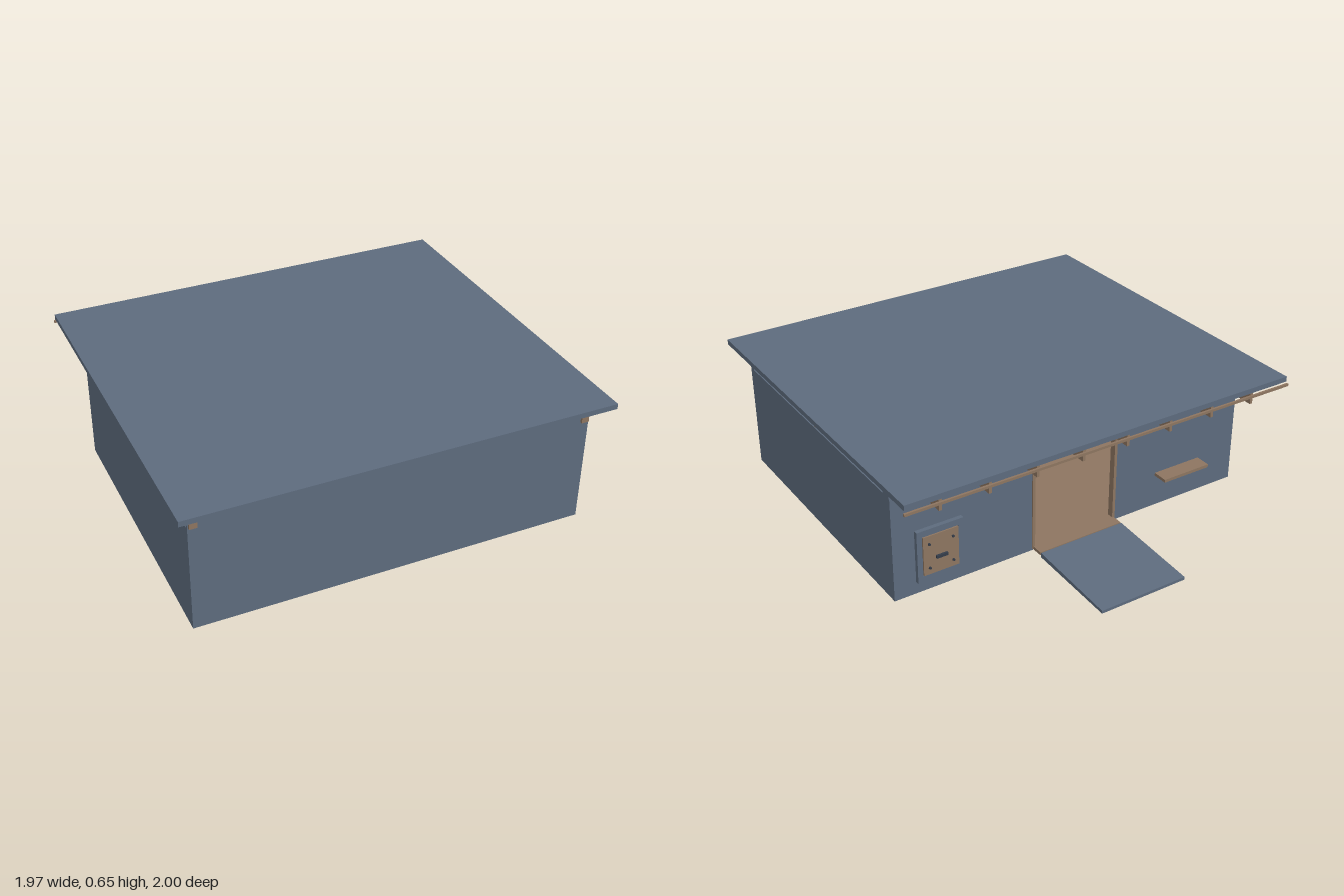
import * as THREE from 'three';

const slate = new THREE.MeshStandardMaterial({ color: 0x5d6b7d });
slate.name = 'slate paint';
const wood = new THREE.MeshStandardMaterial({ color: 0x8d7560 });
wood.name = 'bare wood';
const iron = new THREE.MeshStandardMaterial({ color: 0x343c49 });
iron.name = 'dark iron';

export function createModel() {
  const model = new THREE.Group();
  model.name = 'shed';

  // box given by its limits on each axis
  const box = (name, mat, [x0, x1], [y0, y1], [z0, z1], parent = model) => {
    const mesh = new THREE.Mesh(new THREE.BoxGeometry(x1 - x0, y1 - y0, z1 - z0), mat);
    mesh.position.set((x0 + x1) / 2, (y0 + y1) / 2, (z0 + z1) / 2);
    mesh.name = name;
    parent.add(mesh);
    return mesh;
  };
  const mirrored = (s, a, b) => (s > 0 ? [a, b] : [-b, -a]);

  // floor, front wall and the back wall around the doorway
  box('base', slate, [-0.9, 0.9], [0.02, 0.032], [-0.47, 0.89]);
  box('floorBoards', wood, [-0.89, 0.89], [0.032, 0.04], [-0.475, 0.88]);
  box('frontWall', slate, [-0.915, 0.915], [0.02, 0.6], [0.88, 0.9]);
  box('doorLintel', slate, [-0.22, 0.22], [0.52, 0.6], [-0.48, -0.46]);
  box('doorHeadTrim', wood, [-0.225, 0.225], [0.51, 0.522], [-0.486, -0.46]);

  for (const s of [1, -1]) {
    box('backWall', slate, mirrored(s, 0.22, 0.915), [0.02, 0.6], [-0.48, -0.46]);
    box('doorJamb', wood, mirrored(s, 0.212, 0.226), [0.03, 0.52], [-0.486, -0.455]);
    box('sideWall', slate, mirrored(s, 0.895, 0.915), [0.02, 0.53], [-0.46, 0.88]);

    // vent gap: top beam on short studs, with corner blocks
    box('sideBeam', slate, mirrored(s, 0.87, 0.92), [0.57, 0.63], [-0.45, 0.87]);
    box('frontCornerBlock', slate, mirrored(s, 0.87, 0.918), [0.53, 0.6], [0.86, 0.89]);
    box('backCornerBlock', slate, mirrored(s, 0.87, 0.918), [0.53, 0.6], [-0.482, -0.43]);
    box('frontBeamEnd', wood, mirrored(s, 0.875, 0.91), [0.53, 0.585], [0.89, 0.91]);
    box('backBeamEnd', wood, mirrored(s, 0.875, 0.91), [0.53, 0.585], [-0.49, -0.47]);
    for (let i = 0; i < 7; i++) {
      const z = 0.73 - i * 0.172;
      box('ventStud', wood, mirrored(s, 0.88, 0.91), [0.53, 0.57], [z - 0.007, z + 0.007]);
    }
  }

  // flat roof with rafters under the back overhang
  box('roof', slate, [-0.98, 0.98], [0.63, 0.655], [-0.73, 1]);
  box('fasciaStrip', wood, [-0.985, 0.985], [0.61, 0.622], [-0.74, -0.73]);
  for (let i = 0; i < 8; i++) {
    const x = -0.804 + i * 0.2297;
    box('rafter', wood, [x - 0.007, x + 0.007], [0.555, 0.63], [-0.7, -0.455]);
  }

  // doorway sill and lowered ramp
  box('doorSill', wood, [-0.22, 0.22], [0.025, 0.04], [-0.54, -0.46]);
  const rampShape = new THREE.Shape([
    new THREE.Vector2(0.545, 0.018), new THREE.Vector2(1, 0),
    new THREE.Vector2(1, 0.014), new THREE.Vector2(0.545, 0.04),
  ]);
  const ramp = new THREE.Mesh(
    new THREE.ExtrudeGeometry(rampShape, { depth: 0.44, bevelEnabled: false }), slate);
  ramp.name = 'ramp';
  ramp.rotation.y = Math.PI / 2;
  ramp.position.x = -0.22;
  model.add(ramp);

  // hatch: raised frame, wooden door, bolts and handle
  const hatch = new THREE.Group();
  hatch.name = 'hatch';
  model.add(hatch);
  for (const x of [0.585, 0.785]) {
    box('hatchFrameSide', slate, [x, x + 0.025], [0.08, 0.335], [-0.5, -0.48], hatch);
  }
  for (const y of [0.08, 0.305]) {
    box('hatchFrameRail', slate, [0.61, 0.785], [y, y + 0.03], [-0.5, -0.48], hatch);
  }
  box('hatchDoor', wood, [0.612, 0.783], [0.112, 0.303], [-0.504, -0.48], hatch);
  box('hatchHandle', iron, [0.67, 0.725], [0.184, 0.198], [-0.514, -0.504], hatch);
  for (const x of [0.64, 0.755]) {
    for (const y of [0.145, 0.265]) {
      const bolt = new THREE.Mesh(new THREE.CylinderGeometry(0.006, 0.006, 0.008, 8), iron);
      bolt.rotation.x = Math.PI / 2;
      bolt.position.set(x, y, -0.507);
      bolt.name = 'hatchBolt';
      hatch.add(bolt);
    }
  }

  // outside shelf and a small one inside
  box('outsideShelf', wood, [-0.71, -0.455], [0.18, 0.195], [-0.555, -0.48]);
  box('insideShelf', wood, [0.235, 0.5], [0.175, 0.19], [-0.3, -0.2]);
  box('insideShelfLeg', wood, [0.26, 0.285], [0.04, 0.175], [-0.26, -0.235]);

  return model;
}
